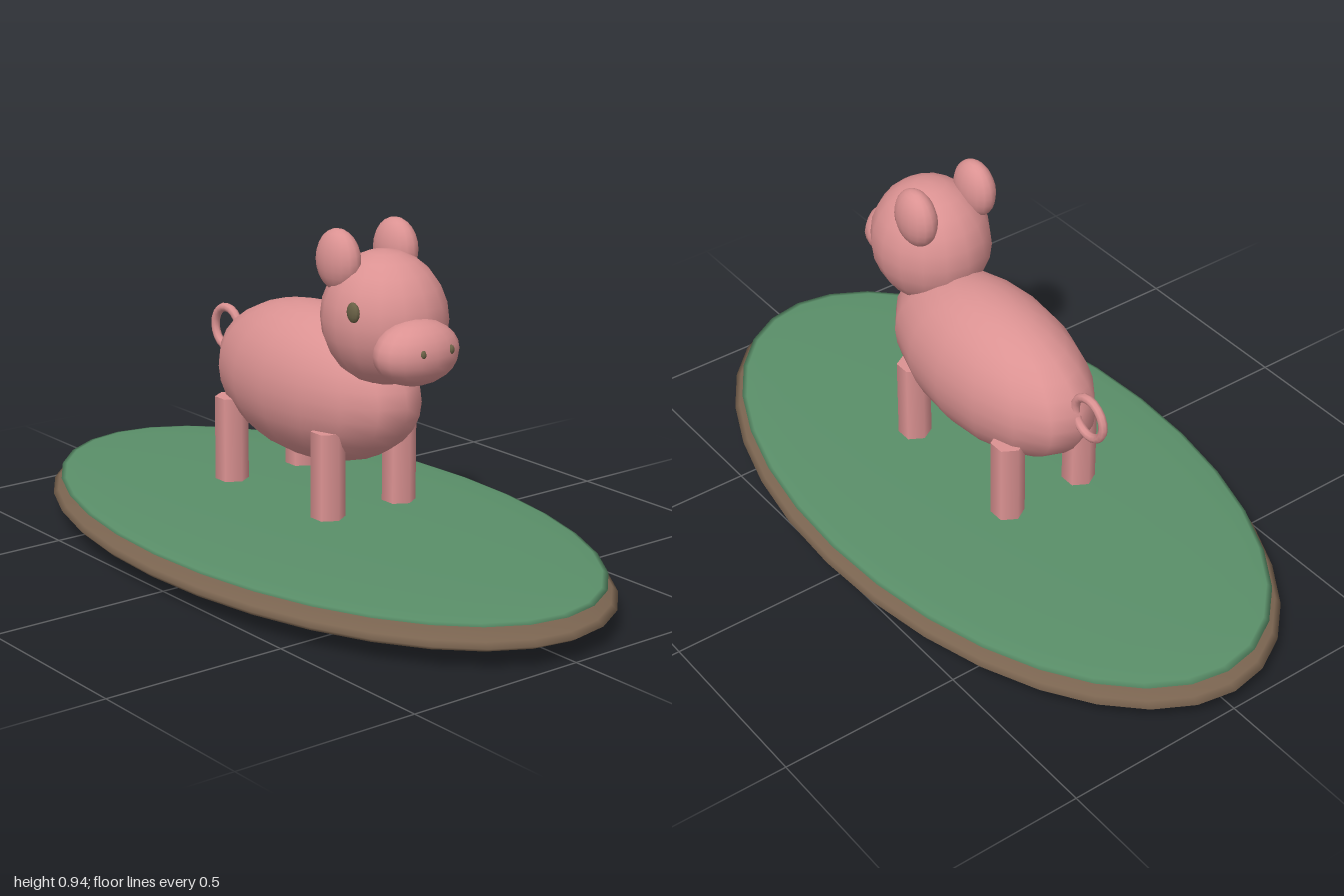
import * as THREE from 'three';

function material(name, color) {
  const m = new THREE.MeshStandardMaterial({ color });
  m.name = name;
  return m;
}

export function createModel() {
  const pink = material('pink skin', 0xdb9292);
  const green = material('grass green', 0x5a8f69);
  const brown = material('earth brown', 0x7a6450);
  const dark = material('eye olive', 0x6a6146);

  const pig = new THREE.Group();
  pig.name = 'pigOnMound';

  const add = (name, geometry, mat, position) => {
    const mesh = new THREE.Mesh(geometry, mat);
    mesh.name = name;
    mesh.position.set(...position);
    pig.add(mesh);
    return mesh;
  };
  const ellipsoid = (name, mat, position, radii, w = 16, h = 12) =>
    add(name, new THREE.SphereGeometry(1, w, h).scale(...radii), mat, position);

  // Ground: two flat discs
  ellipsoid('earth', brown, [0, 0.06, 0], [1, 0.06, 0.545], 32, 16);
  ellipsoid('grass', green, [0, 0.105, 0], [0.97, 0.018, 0.525], 32, 16);

  // Body and head
  ellipsoid('body', pink, [0, 0.482, 0], [0.37, 0.207, 0.185], 16, 16);
  ellipsoid('head', pink, [0.29, 0.707, 0.012], [0.17, 0.173, 0.158]);

  // Snout and nostrils
  ellipsoid('snout', pink, [0.451, 0.653, 0.042], [0.084, 0.083, 0.122]);
  for (const z of [-0.008, 0.082]) {
    ellipsoid('nostril', dark, [0.523, 0.667, z], [0.009, 0.012, 0.009], 10, 8);
  }

  // Eye on the near side of the head
  ellipsoid('eye', dark, [0.347, 0.75, 0.158], [0.022, 0.026, 0.011], 12, 8);

  // Ears
  ellipsoid('leftEar', pink, [0.23, 0.856, 0.112], [0.073, 0.08, 0.045]);
  ellipsoid('rightEar', pink, [0.207, 0.856, -0.092], [0.073, 0.08, 0.046]);

  // Six-sided legs with a corner pointing along the body
  const leg = new THREE.CylinderGeometry(0.045, 0.045, 0.23, 6).rotateY(Math.PI / 2);
  for (const x of [-0.222, 0.197]) {
    for (const z of [-0.118, 0.118]) {
      add(x > 0 ? 'frontLeg' : 'hindLeg', leg, pink, [x, 0.29, z]);
    }
  }

  // Ring tail
  add('tail', new THREE.TorusGeometry(0.056, 0.012, 8, 20), pink, [-0.402, 0.54, 0]);

  return pig;
}
